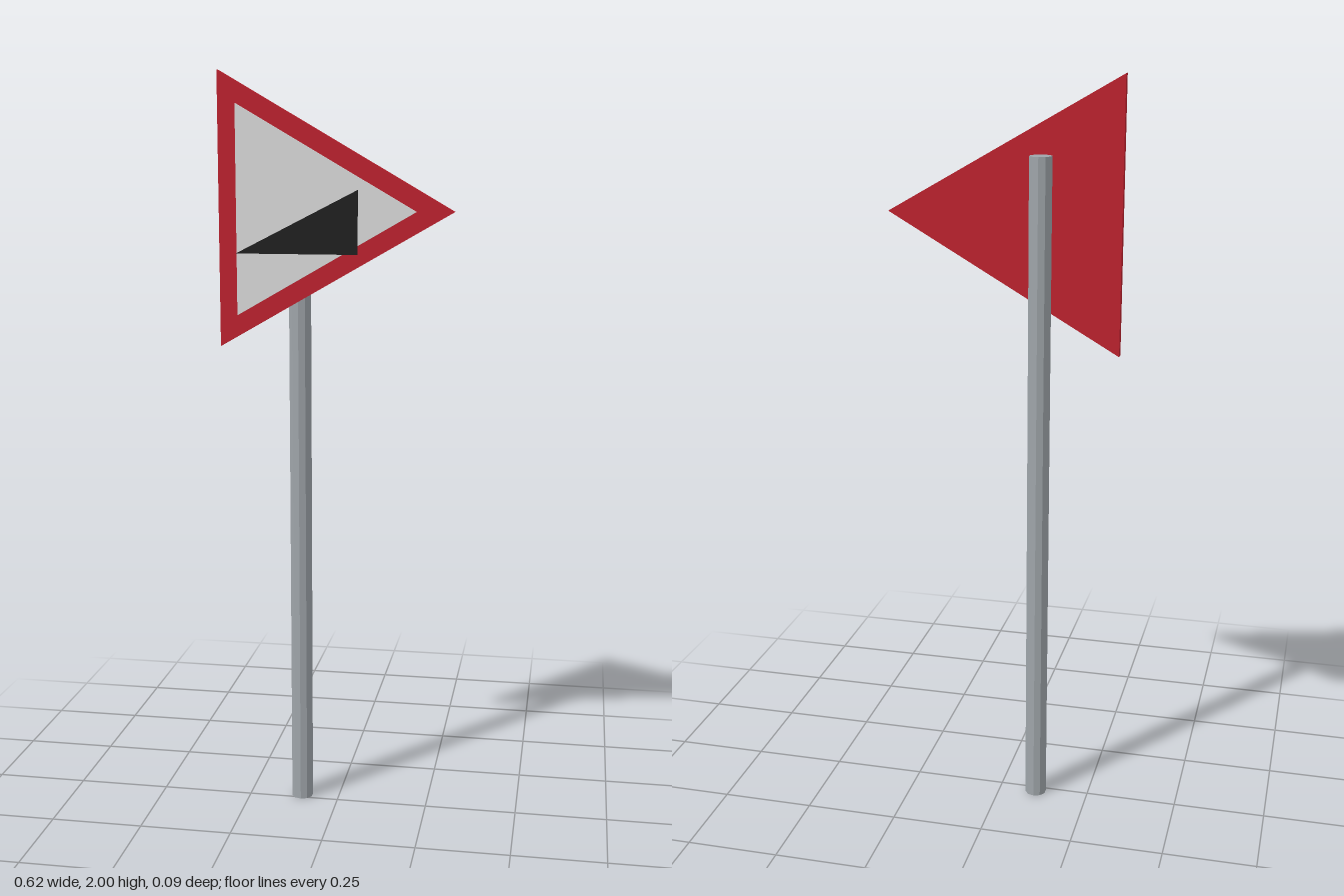
import * as THREE from 'three';

const material = (name, color) => {
  const m = new THREE.MeshStandardMaterial({ color });
  m.name = name;
  return m;
};

export function createModel() {
  const red = material('red', 0xbe222f);
  const white = material('white', 0xdadada);
  const black = material('black', 0x202020);
  const grey = material('grey', 0x9fa5aa);
  const group = new THREE.Group();
  group.name = 'roadSign';

  const cx = -0.103, cy = 1.645; // centre of the triangles, on the pole axis

  // Flat plate extruded from z0 to z1
  const plate = (name, points, z0, z1, mat) => {
    const shape = new THREE.Shape(points.map(([x, y]) => new THREE.Vector2(x, y)));
    const geo = new THREE.ExtrudeGeometry(shape, { depth: z1 - z0, bevelEnabled: false });
    geo.translate(0, 0, z0);
    const mesh = new THREE.Mesh(geo, mat);
    mesh.name = name;
    group.add(mesh);
  };

  // Equilateral triangle pointing to +x
  const triangle = (r) => [0, 1, 2].map((i) => {
    const a = (i * Math.PI * 2) / 3;
    return [cx + r * Math.cos(a), cy + r * Math.sin(a)];
  });

  // Ten-sided pole
  const poleGeo = new THREE.CylinderGeometry(0.0295, 0.0295, 1.8, 10).toNonIndexed();
  poleGeo.computeVertexNormals();
  const pole = new THREE.Mesh(poleGeo, grey);
  pole.name = 'pole';
  pole.position.set(cx, 0.9, -0.0185);
  group.add(pole);

  // Red board, pale panel and dark slope symbol
  plate('signBoard', triangle(0.411), 0.008, 0.03, red);
  plate('signPanel', triangle(0.314), 0.03, 0.04, white);
  plate('slopeSymbol', [[-0.262, 1.535], [0.06, 1.535], [0.06, 1.7]], 0.04, 0.0415, black);

  return group;
}
